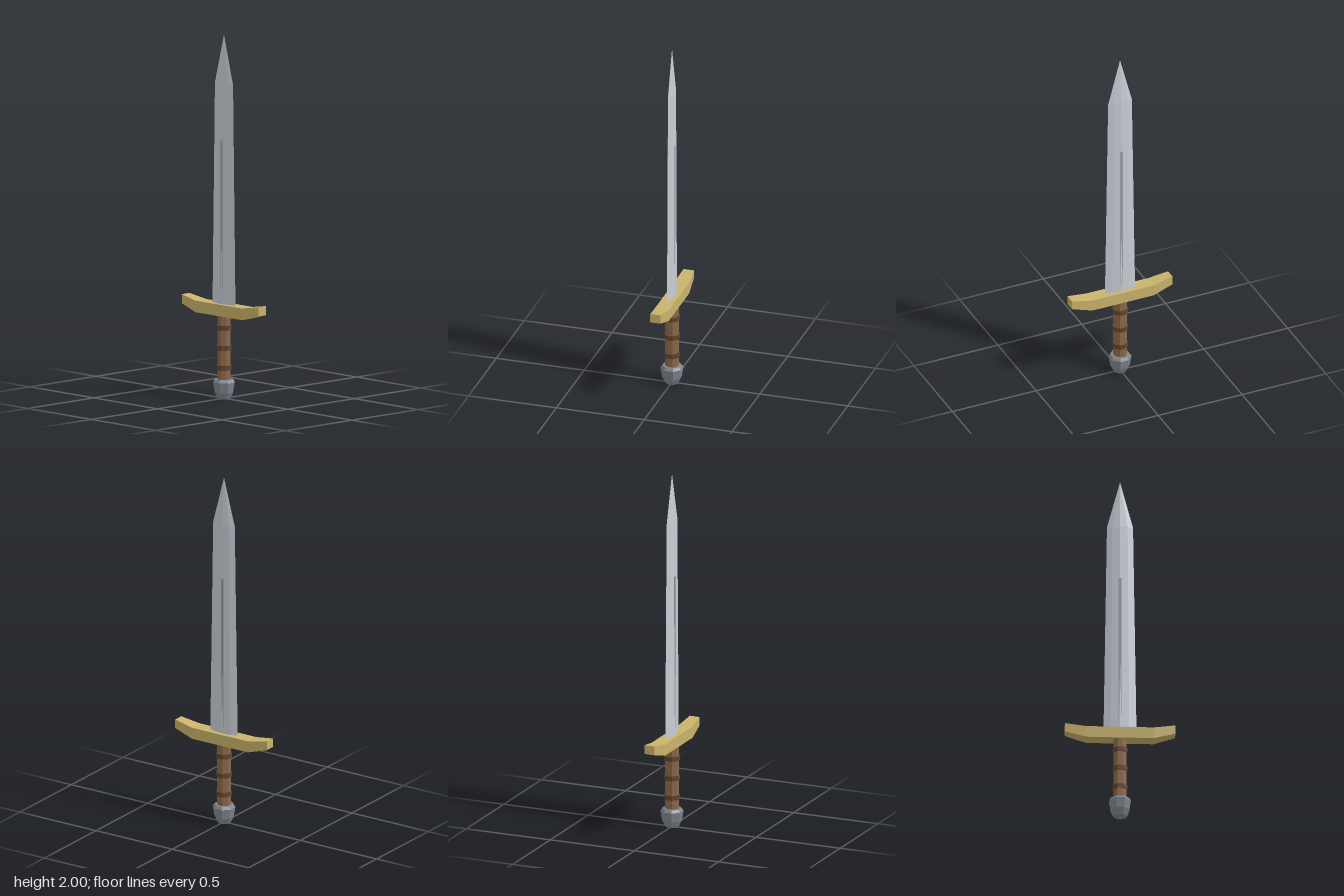
import * as THREE from 'three';

const paint = (color) => new THREE.MeshStandardMaterial({ color, flatShading: true });

// Joins rings of points (listed clockwise seen from the end, along the loft axis) and caps both ends.
function loft(rings) {
  const n = rings[0].length, pos = [];
  const tri = (...p) => p.forEach((v) => pos.push(...v));
  for (let r = 0; r < rings.length - 1; r++) {
    const a = rings[r], b = rings[r + 1];
    for (let i = 0; i < n; i++) {
      const j = (i + 1) % n;
      tri(a[i], a[j], b[j]);
      tri(a[i], b[j], b[i]);
    }
  }
  const first = rings[0], last = rings[rings.length - 1];
  for (let i = 1; i < n - 1; i++) {
    tri(first[0], first[i + 1], first[i]);
    tri(last[0], last[i], last[i + 1]);
  }
  const g = new THREE.BufferGeometry();
  g.setAttribute('position', new THREE.Float32BufferAttribute(pos, 3));
  g.computeVertexNormals();
  return g;
}

export function createModel() {
  const group = new THREE.Group();
  const add = (name, geometry, material, y = 0) => {
    const mesh = new THREE.Mesh(geometry, material);
    mesh.name = name;
    mesh.position.y = y;
    group.add(mesh);
    return mesh;
  };

  // Blade: eight-sided section, tapering to the shoulder and then to a point
  const section = (y, w, inner, t) => [
    [w, 0], [inner, -t * 0.62], [0, -t], [-inner, -t * 0.62],
    [-w, 0], [-inner, t * 0.62], [0, t], [inner, t * 0.62],
  ].map(([x, z]) => [x, y, z]);
  add('blade', loft([
    section(0.5, 0.09, 0.05, 0.02),
    section(1.73, 0.071, 0.041, 0.0165),
    section(2, 0.0005, 0.0003, 0.0003),
  ]), paint(0xc8ccd4));

  // Fuller: narrow dark strip down both faces
  add('fuller', new THREE.BoxGeometry(0.016, 0.86, 0.0376), paint(0x9a9fa8), 0.99);

  // Crossguard: straight middle with upswept, narrowing ends
  const slice = (x, low, high, d) => [[x, low, d], [x, low, -d], [x, high, -d], [x, high, d]];
  add('crossguard', loft([
    slice(-0.3, 0.49, 0.54, 0.029),
    slice(-0.183, 0.456, 0.52, 0.04),
    slice(0.183, 0.456, 0.52, 0.04),
    slice(0.3, 0.49, 0.54, 0.029),
  ]), paint(0xc9b36c));

  // Octagonal grip with three binding rings
  const octagon = (r, h) => new THREE.CylinderGeometry(r, r, h, 8).rotateY(Math.PI / 8);
  add('grip', octagon(0.038, 0.37), paint(0x8b6748), 0.28);
  const binding = paint(0x5e4532);
  [0.17, 0.28, 0.39].forEach((y, i) => add('gripRing' + (i + 1), octagon(0.043, 0.026), binding, y));

  // Pommel: faceted knob, flat at top and bottom
  const profile = [[0, 0], [0.037, 0], [0.054, 0.035], [0.063, 0.09], [0.053, 0.105], [0, 0.105]]
    .map(([x, y]) => new THREE.Vector2(x, y));
  add('pommel', new THREE.LatheGeometry(profile, 8, Math.PI / 8), paint(0x80858e));

  return group;
}
